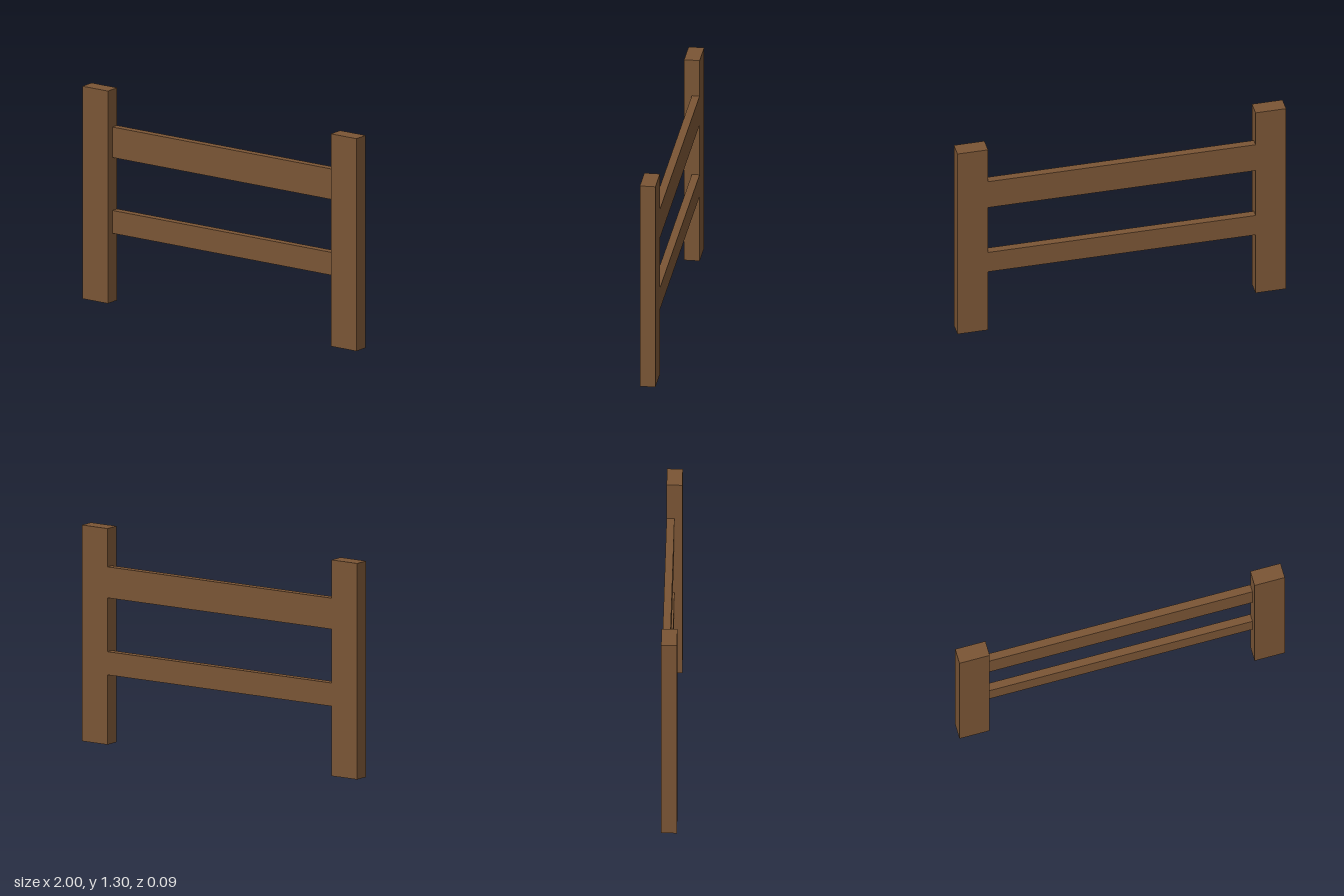
import * as THREE from 'three';

export function createModel() {
  const group = new THREE.Group();
  const wood = new THREE.MeshStandardMaterial({ color: 0x7a5535 });
  wood.name = 'brown wood';

  // Axis-aligned board given by its min and max corners
  function board(name, [x0, y0, z0], [x1, y1, z1]) {
    const mesh = new THREE.Mesh(new THREE.BoxGeometry(x1 - x0, y1 - y0, z1 - z0), wood);
    mesh.position.set((x0 + x1) / 2, (y0 + y1) / 2, (z0 + z1) / 2);
    mesh.name = name;
    group.add(mesh);
  }

  const inner = 0.814, depth = 0.0465;

  // Upright posts
  board('leftPost', [inner, 0, -depth], [1, 1.304, depth]);
  board('rightPost', [-1, 0, -depth], [-inner, 1.304, depth]);

  // Thin rails, flush with the back of the posts
  board('upperRail', [-inner, 0.886, -depth], [inner, 1.073, 0]);
  board('lowerRail', [-inner, 0.421, -depth], [inner, 0.561, 0]);

  return group;
}
